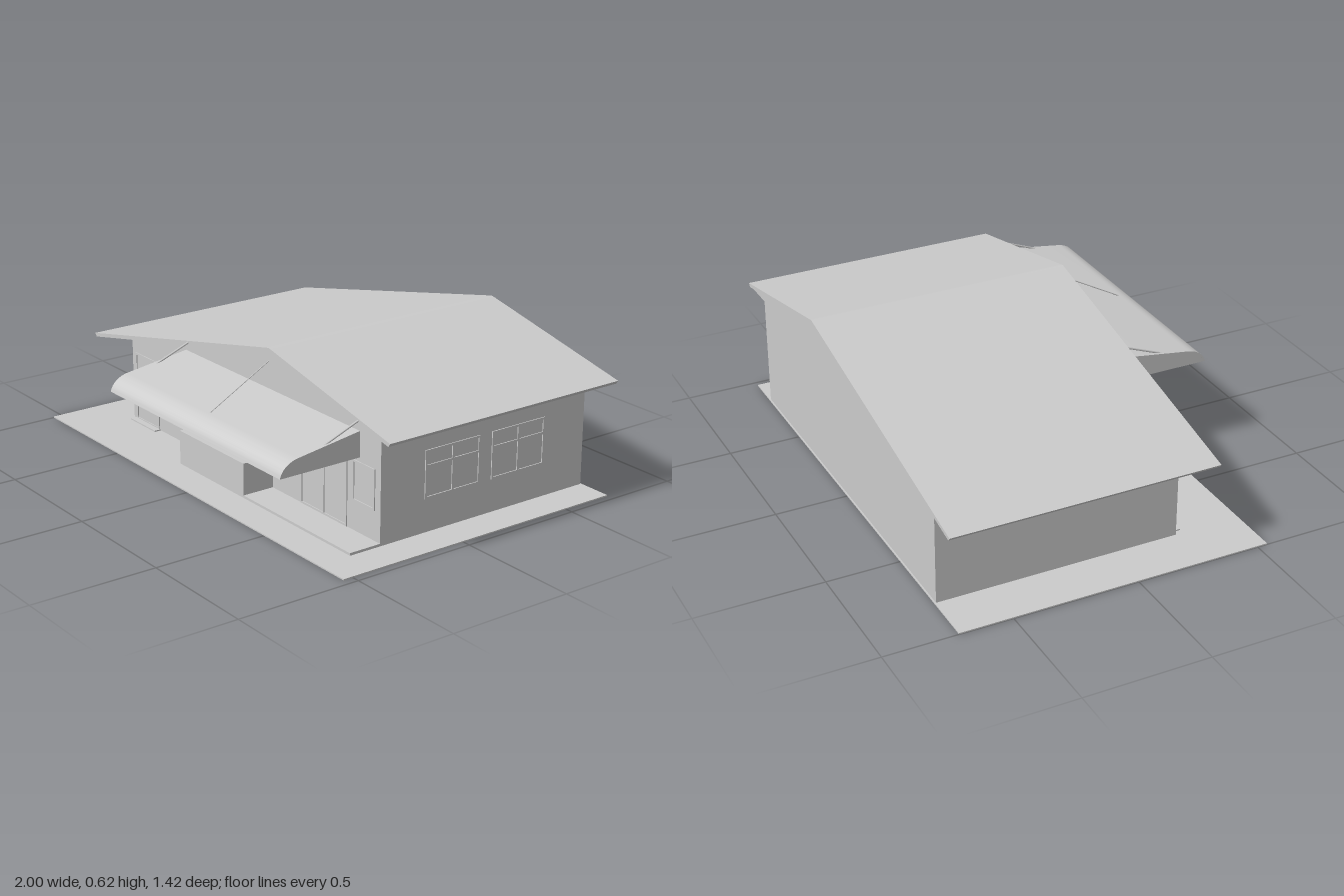
import * as THREE from 'three';
import { toCreasedNormals } from 'three/addons/utils/BufferGeometryUtils.js';

const grey = new THREE.MeshStandardMaterial({ color: 0xcccccc, side: THREE.DoubleSide });

export function createModel() {
  const model = new THREE.Group();

  const add = (name, geometry, parent = model) => {
    const mesh = new THREE.Mesh(geometry, grey);
    mesh.name = name;
    parent.add(mesh);
    return mesh;
  };

  // box given by its lower and upper limits
  const box = (name, x0, x1, y0, y1, z0, z1, parent) =>
    add(name, new THREE.BoxGeometry(x1 - x0, y1 - y0, z1 - z0), parent)
      .position.set((x0 + x1) / 2, (y0 + y1) / 2, (z0 + z1) / 2);

  const outline = (points) => new THREE.Shape(points.map(([a, b]) => new THREE.Vector2(a, b)));

  // front outline (x, y) pushed from z0 to z1
  const alongZ = (shape, z0, z1) =>
    new THREE.ExtrudeGeometry(shape, { depth: z1 - z0, bevelEnabled: false }).translate(0, 0, z0);

  // side outline (z, y) pushed from x0 to x1
  const alongX = (shape, x0, x1) =>
    new THREE.ExtrudeGeometry(shape, { depth: x1 - x0, bevelEnabled: false, curveSegments: 16 })
      .rotateY(-Math.PI / 2).translate(x1, 0, 0);

  const rod = (name, from, to, radius) => {
    const a = new THREE.Vector3(...from), b = new THREE.Vector3(...to);
    add(name, new THREE.TubeGeometry(new THREE.LineCurve3(a, b), 1, radius, 8));
  };

  // Ground and house body
  box('groundSlab', -1, 0.97, 0, 0.005, -0.71, 0.54);
  add('walls', alongZ(outline([
    [-0.8, 0.002], [0.83, 0.002], [0.83, 0.49], [0.29, 0.605], [-0.8, 0.37],
  ]), -0.705, 0.27));

  // Roof: thin eaves at both sides, flat soffit and gable panel in the middle
  add('roof', toCreasedNormals(alongZ(outline([
    [-0.935, 0.353], [-0.925, 0.34], [-0.35, 0.464], [0.94, 0.464], [0.985, 0.454],
    [0.995, 0.468], [0.31, 0.616], [0.29, 0.62], [0.27, 0.616],
  ]), -0.71, 0.365), 0.5));

  // Porch and counter in front
  box('porch', 0.18, 0.83, 0.002, 0.015, 0.27, 0.405);
  box('counter', -0.25, 0.18, 0.002, 0.143, 0.27, 0.405);
  box('doorStep', -0.78, -0.6, 0.002, 0.01, 0.27, 0.30);

  // Awning: sloping top with a rounded front lip, open below, closed ends
  const x0 = -0.255, x1 = 0.83;
  const t = 0.006;
  const shell = outline([[0.365, 0.465], [0.63, 0.427]]);
  shell.bezierCurveTo(0.675, 0.42, 0.70, 0.395, 0.707, 0.367);
  shell.lineTo(0.707 - t, 0.367);
  shell.bezierCurveTo(0.692, 0.39, 0.67, 0.415, 0.63, 0.427 - t);
  shell.lineTo(0.365, 0.465 - t);
  add('awningTop', toCreasedNormals(alongX(shell, x0, x1), 0.6));

  const end = outline([[0.365, 0.367], [0.365, 0.463], [0.63, 0.425]]);
  end.bezierCurveTo(0.674, 0.418, 0.698, 0.394, 0.705, 0.367);
  add('awningEndRight', alongX(end, x0, x0 + 0.003));
  add('awningEndLeft', alongX(end, x1 - 0.003, x1));

  // Awning stays
  rod('middleStay', [0.29, 0.57, 0.365], [0.29, 0.424, 0.63], 0.002);
  for (const x of [-0.24, 0.817]) rod('sideStay', [x, 0.498, 0.365], [x, 0.438, 0.52], 0.004);

  // Window or door frame from bars, built in its own plane facing +z
  const frame = (name, w, h, mullions, transom) => {
    const group = new THREE.Group();
    group.name = name;
    const b = 0.004, d = 0.004;
    for (let i = 0; i <= mullions + 1; i++) {
      const x = -w / 2 + (w * i) / (mullions + 1);
      box('upright', x - b, x + b, 0, h, -d, d, group);
    }
    for (const y of transom ? [0, h * transom, h] : [0, h])
      box('rail', -w / 2 - b, w / 2 + b, y - b, y + b, -d, d, group);
    model.add(group);
    return group;
  };

  // Windows in the left wall
  for (const z of [-0.06, -0.375]) {
    const w = frame('sideWindow', 0.25, 0.18, 1, 0.68);
    w.position.set(0.83, 0.14, z);
    w.rotation.y = Math.PI / 2;
  }

  // Openings in the front wall
  frame('entranceDoor', 0.16, 0.28, 0, 0).position.set(-0.69, 0.01, 0.27);
  frame('frontWindow', 0.135, 0.145, 0, 0).position.set(-0.488, 0.185, 0.27);
  frame('porchDoor', 0.27, 0.29, 1, 0).position.set(0.5, 0.02, 0.27);
  frame('porchWindow', 0.12, 0.15, 0, 0).position.set(0.735, 0.135, 0.27);

  return model;
}
